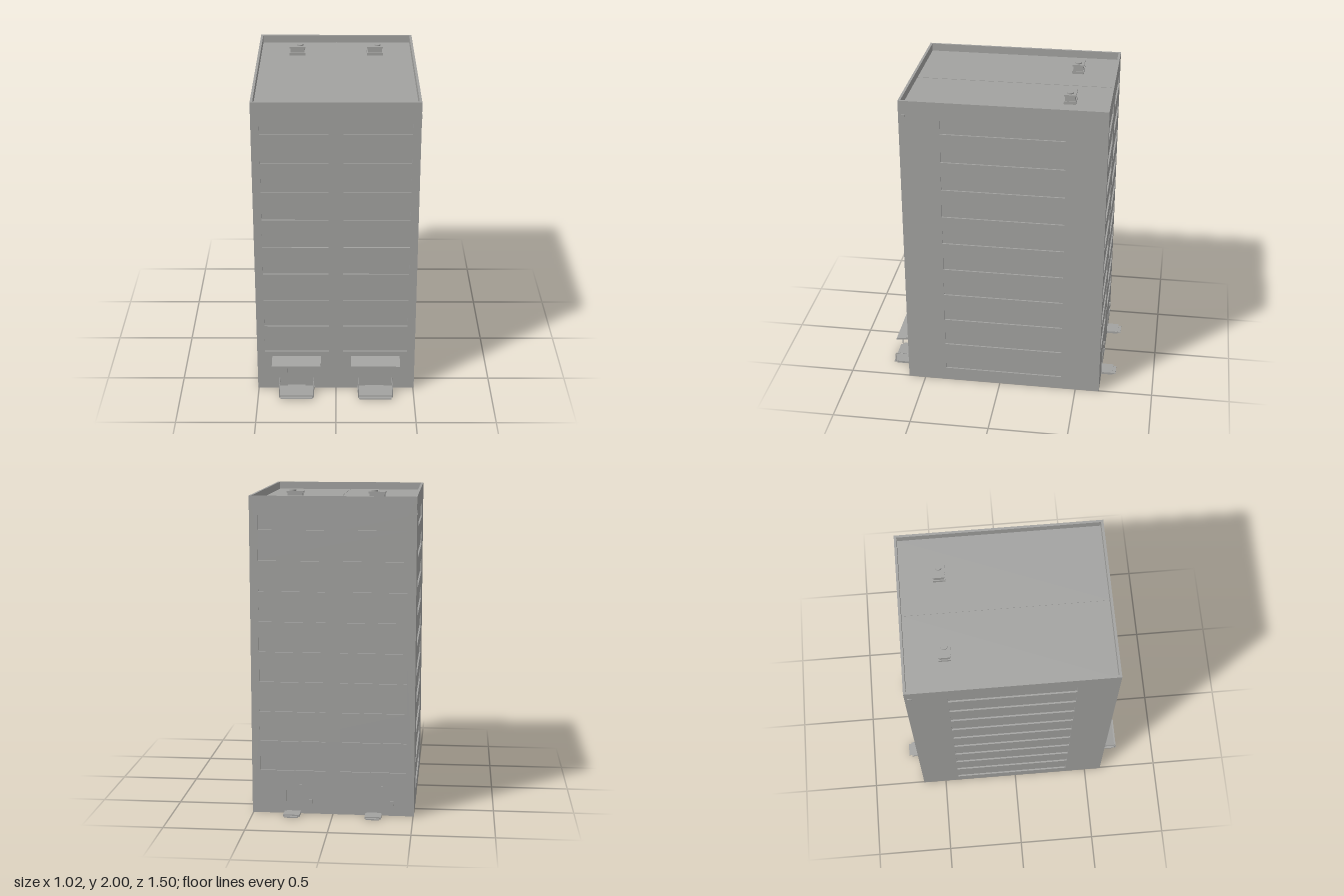
import * as THREE from 'three';

const H = 1.98, T = 0.015, W = 1.01, ZF = 0.61, ZB = -0.655;
const ZC = (ZF + ZB) / 2, D = ZF - ZB;

export function createModel() {
  const model = new THREE.Group();
  const grey = new THREE.MeshStandardMaterial({ color: 0xa2a2a0 });
  grey.name = 'concrete grey';
  grey.side = THREE.DoubleSide;

  const add = (parent, name, geo, x = 0, y = 0, z = 0) => {
    const m = new THREE.Mesh(geo, grey);
    m.name = name;
    m.position.set(x, y, z);
    parent.add(m);
    return m;
  };
  // box given by its limits
  const box = (parent, name, x0, x1, y0, y1, z0, z1) => add(parent, name,
    new THREE.BoxGeometry(x1 - x0, y1 - y0, z1 - z0), (x0 + x1) / 2, (y0 + y1) / 2, (z0 + z1) / 2);

  // wall with recessed openings [x0, x1, y0, y1]; its outer face is local z = 0
  const wall = (name, width, openings, x, z, turn) => {
    const g = new THREE.Group();
    g.name = name;
    const s = new THREE.Shape();
    s.moveTo(-width / 2, 0).lineTo(width / 2, 0).lineTo(width / 2, H).lineTo(-width / 2, H).closePath();
    for (const [x0, x1, y0, y1] of openings) {
      const p = new THREE.Path();
      p.moveTo(x0, y0).lineTo(x0, y1).lineTo(x1, y1).lineTo(x1, y0).closePath();
      s.holes.push(p);
      add(g, 'recessedPane', new THREE.PlaneGeometry(x1 - x0, y1 - y0), (x0 + x1) / 2, (y0 + y1) / 2, -0.01);
    }
    add(g, 'wallPanel', new THREE.ExtrudeGeometry(s, { depth: T, bevelEnabled: false }), 0, 0, -T);
    g.position.set(x, 0, z);
    g.rotation.y = turn;
    model.add(g);
    return g;
  };
  const rows = (count, spans) => {
    const list = [];
    for (let i = 0; i < count; i++)
      for (const [a, b] of spans) list.push([a, b, 1.775 - i * 0.1875, 1.865 - i * 0.1875]);
    return list;
  };

  // four walls, open below
  const pair = [[-0.455, -0.045], [0.045, 0.455]];
  wall('frontWall', W, [...rows(9, pair), [-0.312, -0.197, 0.014, 0.21], [0.19, 0.308, 0.014, 0.21]], 0, ZF, 0);
  wall('backWall', W, [...rows(9, pair), [-0.29, -0.2, 0.014, 0.15], [0.21, 0.3, 0.014, 0.15]], 0, ZB, Math.PI);
  for (const s of [1, -1]) {
    const side = wall(s > 0 ? 'leftWall' : 'rightWall', D - 2 * T, rows(10, [[-0.3825, 0.3825]]), s * W / 2, ZC, s * Math.PI / 2);
    box(side, 'cornerPlate', -0.615, -0.59, 1.87, 1.895, 0, 0.004);
  }

  // sunken roof in two halves with a seam
  for (const s of [-1, 1])
    add(model, 'roofHalf', new THREE.BoxGeometry(W / 2 - T, 0.01, D - 2 * T), s * (W / 2 - T) / 2, 1.927, ZC);
  box(model, 'roofSeam', -0.002, 0.002, 1.93, 1.934, ZB + T, ZF - T);

  for (const c of [-0.253, 0.253]) {
    // roof vent
    const vent = new THREE.Group();
    vent.name = 'roofVent';
    box(vent, 'ventBase', c - 0.052, c + 0.052, 1.93, 1.95, -0.44, -0.366);
    box(vent, 'ventBody', c - 0.046, c + 0.046, 1.95, 1.982, -0.434, -0.372);
    box(vent, 'ventCap', c - 0.052, c + 0.052, 1.982, 1.992, -0.44, -0.366);
    add(vent, 'ventPipe', new THREE.CylinderGeometry(0.021, 0.021, 0.01, 16), c + 0.017, 1.995, -0.402);
    model.add(vent);

    // front porch: sloping canopy, steps, handrails and lamps
    const porch = new THREE.Group();
    porch.name = 'frontPorch';
    const profile = new THREE.Shape();
    profile.moveTo(0, 0.222).lineTo(0.1, 0.214).lineTo(0.1, 0.224).lineTo(0, 0.24).closePath();
    const canopy = add(porch, 'canopy',
      new THREE.ExtrudeGeometry(profile, { depth: 0.312, bevelEnabled: false }), c + 0.156, 0, ZF);
    canopy.rotation.y = -Math.PI / 2;
    box(porch, 'landing', c - 0.112, c + 0.112, 0, 0.014, ZF, 0.725);
    box(porch, 'step', c - 0.104, c + 0.104, 0, 0.007, 0.725, 0.745);
    for (const s of [-1, 1]) {
      const x = c + s * 0.109;
      const path = new THREE.CurvePath();
      const v = (y, z) => new THREE.Vector3(x, y, z);
      path.add(new THREE.LineCurve3(v(0.075, ZF), v(0.075, 0.72)));
      path.add(new THREE.QuadraticBezierCurve3(v(0.075, 0.72), v(0.075, 0.733), v(0.062, 0.733)));
      path.add(new THREE.LineCurve3(v(0.062, 0.733), v(0.005, 0.733)));
      add(porch, 'handrail', new THREE.TubeGeometry(path, 30, 0.003, 6));
      const lx = c + s * 0.128;
      box(porch, 'lamp', lx - 0.005, lx + 0.005, 0.165, 0.188, ZF, ZF + 0.01);
      const bx = c + s * 0.152;
      box(porch, 'canopyBracket', bx - 0.003, bx + 0.003, 0.195, 0.222, ZF, ZF + 0.012);
    }
    model.add(porch);

    // back entrance steps and fixtures
    const back = new THREE.Group();
    back.name = 'backEntrance';
    box(back, 'backLanding', c - 0.052, c + 0.05, 0, 0.014, -0.73, ZB);
    box(back, 'backStep', c - 0.042, c + 0.042, 0, 0.007, -0.75, -0.73);
    box(back, 'backLamp', c - 0.06, c - 0.046, 0.165, 0.188, ZB - 0.01, ZB);
    box(back, 'utilityBox', c - 0.124, c - 0.104, 0.068, 0.093, ZB - 0.008, ZB);
    model.add(back);
  }
  return model;
}
